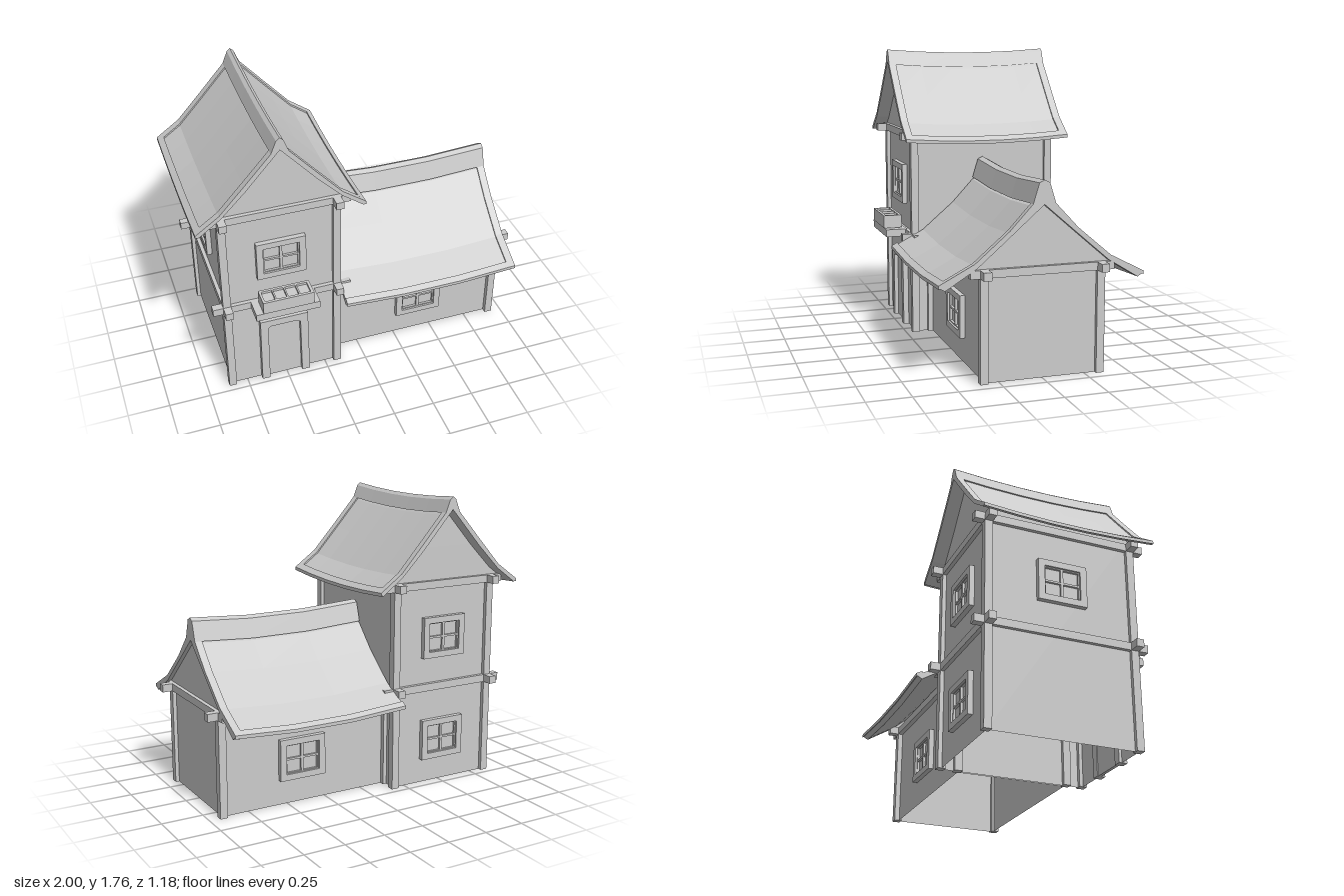
import * as THREE from 'three';

const material = new THREE.MeshStandardMaterial({ color: 0xcccccc, flatShading: true, side: THREE.DoubleSide });

function add(parent, name, geometry, x = 0, y = 0, z = 0) {
  const mesh = new THREE.Mesh(geometry, material);
  mesh.name = name;
  mesh.position.set(x, y, z);
  parent.add(mesh);
  return mesh;
}

// Box given by its limits on each axis
function box(parent, name, x0, x1, y0, y1, z0, z1) {
  return add(parent, name, new THREE.BoxGeometry(x1 - x0, y1 - y0, z1 - z0),
    (x0 + x1) / 2, (y0 + y1) / 2, (z0 + z1) / 2);
}

const polygon = (points) => new THREE.Shape(points.map(([x, y]) => new THREE.Vector2(x, y)));
const rect = (x0, x1, y0, y1) => polygon([[x0, y0], [x1, y0], [x1, y1], [x0, y1]]);
const mirror = (points) => points.map(([x, y]) => [-x, y]);
const extrude = (shape, depth, steps = 1) =>
  new THREE.ExtrudeGeometry(shape, { depth, steps, bevelEnabled: false });

// Roof with its ridge along z; profiles run from eave to ridge, the last point at x = 0
function roof(parent, { outer, inner, half, sag, steps, trimEnds }) {
  const group = new THREE.Group();
  group.name = 'roof';
  parent.add(group);
  const strip = (name, points, z0, z1, n) => {
    const g = extrude(polygon(points), z1 - z0, n).translate(0, 0, z0);
    const p = g.attributes.position;
    for (let i = 0; i < p.count; i++) {
      p.setY(i, p.getY(i) - sag * (1 - (p.getZ(i) / half) ** 2));
    }
    g.computeVertexNormals();
    add(group, name, g);
  };
  const full = (top, bottom) => [
    ...mirror(top), ...top.slice(0, -1).reverse(),
    ...bottom, ...mirror(bottom).slice(0, -1).reverse(),
  ];
  // Slightly recessed covering
  const apex = inner[inner.length - 1][1];
  const cover = [...outer.slice(0, 4).map(([x, y]) => [x, y - 0.012]), [0, apex + 0.02]];
  strip('roofCover', full(cover, inner), -half, half, steps);
  // Raised trim at the gable ends
  for (const s of trimEnds) {
    const a = s * half, b = s * (half - 0.045);
    strip('gableTrim', full(outer, inner), Math.min(a, b), Math.max(a, b), 1);
  }
  // Ridge cap
  const cap = outer.slice(3);
  strip('ridgeCap', [...mirror(cap), ...cap.slice(0, -1).reverse(), [0, apex]], -half, half, steps);
  // Eave trim
  const [[x0, y0], [x1, y1]] = outer;
  const t = 0.035 / (x0 - x1), xi = x0 - 0.035, yi = y0 + (y1 - y0) * t;
  const lip = [[x0, y0], [xi, yi], [xi, yi - 0.02], [x0, y0 - 0.02]];
  strip('eaveTrim', lip, -half, half, steps);
  strip('eaveTrim', mirror(lip), -half, half, steps);
}

// Walls open at the bottom, the end walls rising into the gables
function walls(parent, hw, z0, z1, inner, gableX, gableY) {
  const side = [[hw, 0], [hw, gableY], [gableX, gableY], ...inner.slice(1)];
  const end = polygon([...side, ...mirror(side).slice(0, -1).reverse()]);
  for (const z of [z0, z1]) add(parent, 'endWall', new THREE.ShapeGeometry(end), 0, 0, z);
  const top = inner[1][1];
  for (const s of [-1, 1]) {
    const g = new THREE.PlaneGeometry(z1 - z0, top);
    add(parent, 'sideWall', g, s * hw, top / 2, (z0 + z1) / 2).rotation.y = s * Math.PI / 2;
  }
}

// Four-pane window, facing +z before it is turned
function windowUnit(parent, x, y, z, turn) {
  const group = new THREE.Group();
  group.name = 'window';
  group.position.set(x, y, z);
  group.rotation.y = turn;
  parent.add(group);
  const frame = rect(-0.147, 0.147, -0.125, 0.125);
  frame.holes.push(rect(-0.108, 0.108, -0.088, 0.088));
  add(group, 'windowFrame', extrude(frame, 0.03));
  const bars = rect(-0.108, 0.108, -0.088, 0.088);
  for (const sx of [-1, 1]) for (const sy of [-1, 1]) {
    const xs = [sx * 0.008, sx * 0.1].sort((a, b) => a - b);
    const ys = [sy * 0.006, sy * 0.082].sort((a, b) => a - b);
    bars.holes.push(rect(...xs, ...ys));
  }
  add(group, 'windowBars', extrude(bars, 0.018));
  box(group, 'windowPanes', -0.108, 0.108, -0.088, 0.088, 0, 0.004);
}

export function createModel() {
  const model = new THREE.Group();
  model.name = 'house';
  const B = 0.023; // half thickness of posts and beams

  // Tower
  const tower = new THREE.Group();
  tower.name = 'tower';
  tower.position.x = -0.51;
  model.add(tower);
  const towerInner = [[0.475, 1.215], [0.345, 1.31], [0.2, 1.458], [0, 1.684]];
  walls(tower, 0.337, -0.437, 0.437, towerInner, 0.41, 1.26);
  roof(tower, {
    outer: [[0.49, 1.235], [0.35, 1.335], [0.2, 1.5], [0.05, 1.668], [0.02, 1.743], [0, 1.76]],
    inner: towerInner, half: 0.52, sag: 0.022, steps: 5, trimEnds: [-1, 1],
  });
  for (const sx of [-1, 1]) for (const sz of [-1, 1]) {
    box(tower, 'towerPost', sx * 0.336 - B, sx * 0.336 + B, 0, 1.24, sz * 0.438 - B, sz * 0.438 + B);
  }
  for (const y of [0.608, 1.238]) for (const s of [-1, 1]) {
    box(tower, 'towerCrossBeam', -0.42, 0.42, y - B, y + B, s * 0.438 - B, s * 0.438 + B);
    box(tower, 'towerSideBeam', s * 0.336 - B, s * 0.336 + B, y - B, y + B, -0.52, 0.52);
  }
  windowUnit(tower, 0, 0.915, 0.437, 0);
  windowUnit(tower, 0, 0.915, -0.437, Math.PI);
  windowUnit(tower, 0, 0.275, -0.437, Math.PI);
  windowUnit(tower, -0.337, 0.915, 0, -Math.PI / 2);

  // Door
  const doorway = [[-0.103, 0], [0.103, 0], [0.1, 0.405], [0.08, 0.417], [-0.08, 0.417], [-0.1, 0.405]];
  const doorFrame = polygon([[-0.152, 0], [-0.103, 0], ...doorway.slice(2).reverse(), [0.103, 0],
    [0.152, 0], [0.147, 0.462], [-0.147, 0.462]].map((p) => p));
  // Outline order: left foot, up the opening, down to the right foot, then around
  add(tower, 'doorFrame', extrude(doorFrame, 0.05), 0, 0, 0.42);
  add(tower, 'door', extrude(polygon(doorway), 0.02), 0, 0, 0.425);

  // Flower box on its shelf
  box(tower, 'flowerShelf', -0.195, 0.19, 0.587, 0.633, 0.45, 0.585);
  const tray = rect(-0.153, 0.153, -0.058, 0.058);
  for (let i = 0; i < 4; i++) {
    const x = -0.139 + i * 0.071;
    tray.holes.push(rect(x, x + 0.062, -0.042, 0.042));
  }
  add(tower, 'flowerBox', extrude(tray, 0.08).rotateX(-Math.PI / 2), 0, 0.638, 0.534);
  box(tower, 'flowerBoxSoil', -0.145, 0.145, 0.635, 0.703, 0.485, 0.582);

  // Low wing, its ridge turned to run along x
  const wing = new THREE.Group();
  wing.name = 'wing';
  wing.position.x = 0.393;
  wing.rotation.y = Math.PI / 2;
  model.add(wing);
  const wingInner = [[0.555, 0.533], [0.38, 0.64], [0.2, 0.794], [0, 0.967]];
  walls(wing, 0.33, -0.55, 0.522, wingInner, 0.415, 0.615);
  roof(wing, {
    outer: [[0.59, 0.565], [0.39, 0.668], [0.196, 0.832], [0.065, 0.972], [0.03, 1.085], [0, 1.1]],
    inner: wingInner, half: 0.547, sag: 0.025, steps: 3, trimEnds: [1],
  });
  for (const s of [-1, 1]) {
    for (const z of [-0.566, 0.522]) {
      box(wing, 'wingPost', s * 0.337 - B, s * 0.337 + B, 0, 0.63, z - B, z + B);
    }
    box(wing, 'wingLongBeam', s * 0.337 - B, s * 0.337 + B, 0.585, 0.631, -0.56, 0.607);
    windowUnit(wing, s * 0.33, 0.275, 0.012, s * Math.PI / 2);
  }
  box(wing, 'wingEndBeam', -0.415, 0.415, 0.585, 0.631, 0.522 - B, 0.522 + B);

  return model;
}
